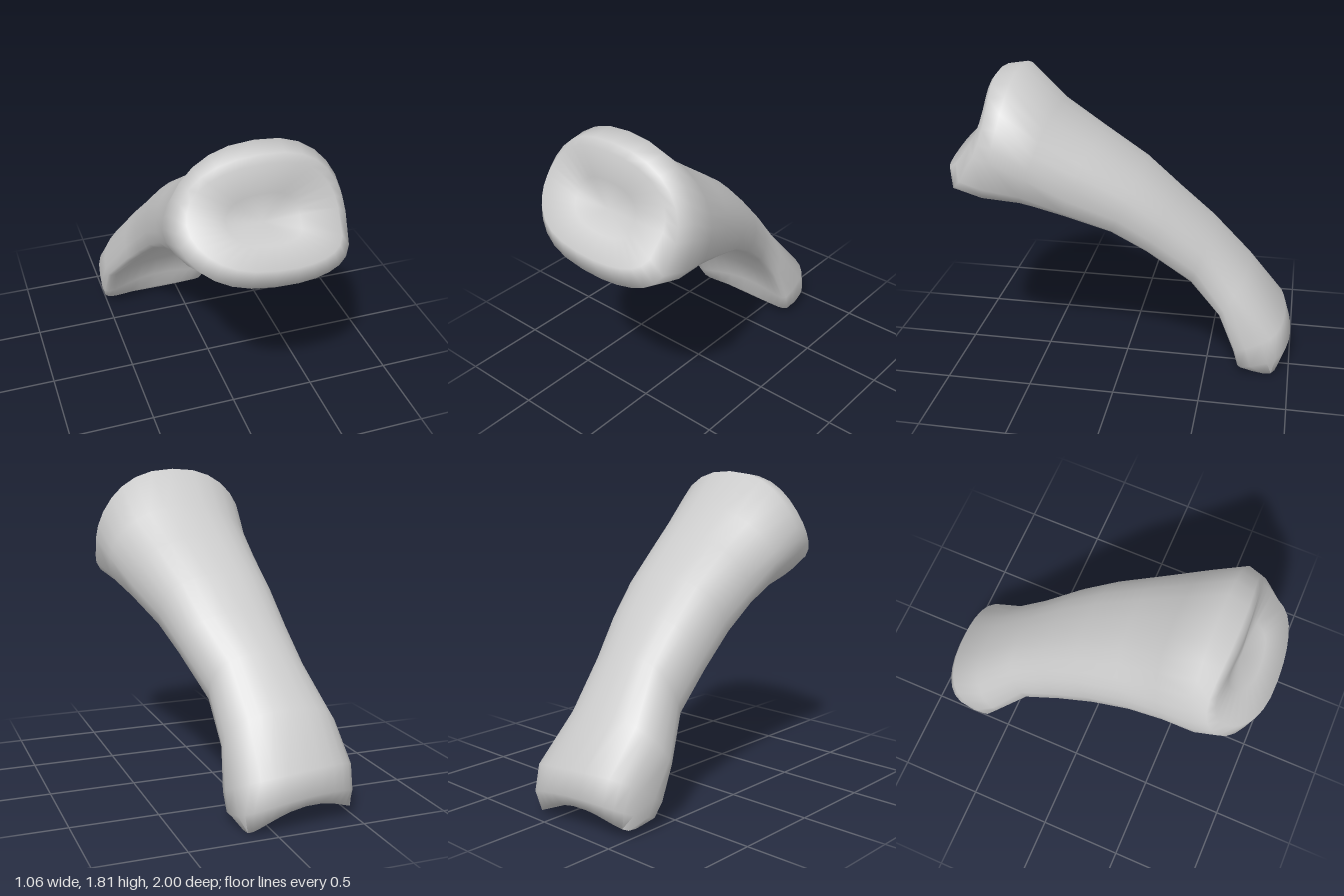
import * as THREE from 'three';
import { toCreasedNormals } from 'three/addons/utils/BufferGeometryUtils.js';

const SEGMENTS = 28;
const { lerp } = THREE.MathUtils;

// Cross-sections from the cupped base to the two-lobed far end.
// top, right, left: [z, y] of the upper ridge and of the two lower edges; x: side limits;
// wide: depth of the widest line; crown, sq: roundness above and below (right, left);
// groove: hollow below; bow: side setback; tilt: drop toward the left; notch: gap between the upper lobes
const base = { wide: 0.58, crown: 1.12, sq: [0.9, 0.42], groove: 0, bow: 0.1, tilt: 0, notch: 0 };
const shaft = { wide: 0.65, crown: 0.9, sq: [0.5, 0.45], groove: 0.2, bow: 0, tilt: 0, notch: 0 };
const head = { wide: 0.68, crown: 0.6, sq: [0.45, 0.45], groove: 0.25, bow: 0, tilt: 0.05, notch: 0 };
const sections = [
  { ...base, top: [0.75, 1.76], right: [1.01, 1.34], left: [1.0, 1.25], x: [-0.37, 0.44] },
  { ...base, top: [0.72, 1.8], right: [0.98, 1.22], left: [0.97, 1.13], x: [-0.42, 0.5] },
  { ...base, top: [0.6, 1.82], right: [0.77, 1.14], left: [0.77, 1.09], x: [-0.44, 0.53], bow: 0.03 },
  { ...base, top: [0.38, 1.61], right: [0.56, 1.08], left: [0.56, 1.07], x: [-0.41, 0.49], sq: [0.85, 0.5], groove: 0.04, bow: 0 },
  { ...shaft, top: [0.15, 1.44], right: [0.35, 1.01], left: [0.33, 1.0], x: [-0.39, 0.41], sq: [0.7, 0.5], groove: 0.1 },
  { ...shaft, top: [-0.1, 1.26], right: [0.12, 0.88], left: [0.06, 0.9], x: [-0.39, 0.33] },
  { ...shaft, top: [-0.3, 1.07], right: [-0.1, 0.7], left: [-0.13, 0.78], x: [-0.4, 0.27] },
  { ...shaft, top: [-0.5, 0.88], right: [-0.33, 0.5], left: [-0.39, 0.56], x: [-0.42, 0.18] },
  { ...shaft, top: [-0.73, 0.61], right: [-0.51, 0.3], left: [-0.56, 0.36], x: [-0.52, 0.17], wide: 0.75 },
  { ...head, top: [-0.93, 0.36], right: [-0.57, 0.12], left: [-0.58, 0.2], x: [-0.53, 0.2] },
  { ...head, top: [-0.97, 0.19], right: [-0.62, 0.06], left: [-0.61, 0.1], x: [-0.52, 0.19], groove: 0.15, notch: 0.04 },
  { ...head, top: [-0.92, 0.05], right: [-0.67, 0.06], left: [-0.67, 0.07], x: [-0.5, 0.14], wide: 0.48, groove: 0.08, notch: 0.11 },
];

// One closed loop, counter-clockwise seen from the base end
function sectionLoop(s) {
  const loop = [];
  for (let j = 0; j < SEGMENTS; j++) {
    const a = (j / SEGMENTS) * Math.PI * 2;
    const c = Math.cos(a), v = Math.sin(a);
    const u = Math.sign(c) * Math.abs(c) ** 0.85;
    const side = (u + 1) / 2;
    const middle = 1 - u * u;
    const sq = lerp(s.sq[0], s.sq[1], side);
    const d = v >= 0
      ? s.wide * (1 - v ** s.crown)
      : s.wide + (1 - s.wide) * Math.abs(v) ** sq * (1 + s.groove * 0.4) - s.groove * middle;
    const z = lerp(s.top[0], lerp(s.right[0], s.left[0], side), d) - s.bow * 4 * d * (1 - d);
    const y = lerp(s.top[1], lerp(s.right[1], s.left[1], side), d);
    const lift = v > 0 ? s.notch * middle : 0;
    loop.push(new THREE.Vector3(
      lerp(s.x[0], s.x[1], side),
      y - s.tilt * side + lift,
      z - s.tilt * side,
    ));
  }
  return loop;
}

// Shrinks a loop toward a centre to dish an end
const inset = (loop, centre, t) => loop.map((p) => p.clone().lerp(centre, t));

// Skins the loops and closes both ends on their centre points
function loft(loops, first, last) {
  const points = [...loops.flat(), first, last];
  const index = [];
  const at = (i, j) => i * SEGMENTS + (j % SEGMENTS);
  const n = loops.length;
  for (let j = 0; j < SEGMENTS; j++) {
    for (let i = 0; i < n - 1; i++) {
      index.push(at(i, j), at(i + 1, j), at(i, j + 1));
      index.push(at(i + 1, j), at(i + 1, j + 1), at(i, j + 1));
    }
    index.push(n * SEGMENTS, at(0, j), at(0, j + 1));
    index.push(n * SEGMENTS + 1, at(n - 1, j + 1), at(n - 1, j));
  }
  const geometry = new THREE.BufferGeometry().setFromPoints(points);
  geometry.setIndex(index);
  return toCreasedNormals(geometry, 1.5);
}

export function createModel() {
  const group = new THREE.Group();
  group.name = 'fingerBone';

  const loops = sections.map(sectionLoop);
  // Shallow cup at the base and hollow under the far end
  const cup = new THREE.Vector3(0.04, 1.44, 0.77);
  const hollow = new THREE.Vector3(-0.17, 0.13, -0.8);
  loops.unshift(inset(loops[0], cup, 0.5));
  loops.push(inset(loops[loops.length - 1], hollow, 0.5));

  const bone = new THREE.Mesh(
    loft(loops, cup, hollow),
    new THREE.MeshStandardMaterial({ color: 0xcccccc, side: THREE.DoubleSide }),
  );
  bone.name = 'bone';
  group.add(bone);
  return group;
}
